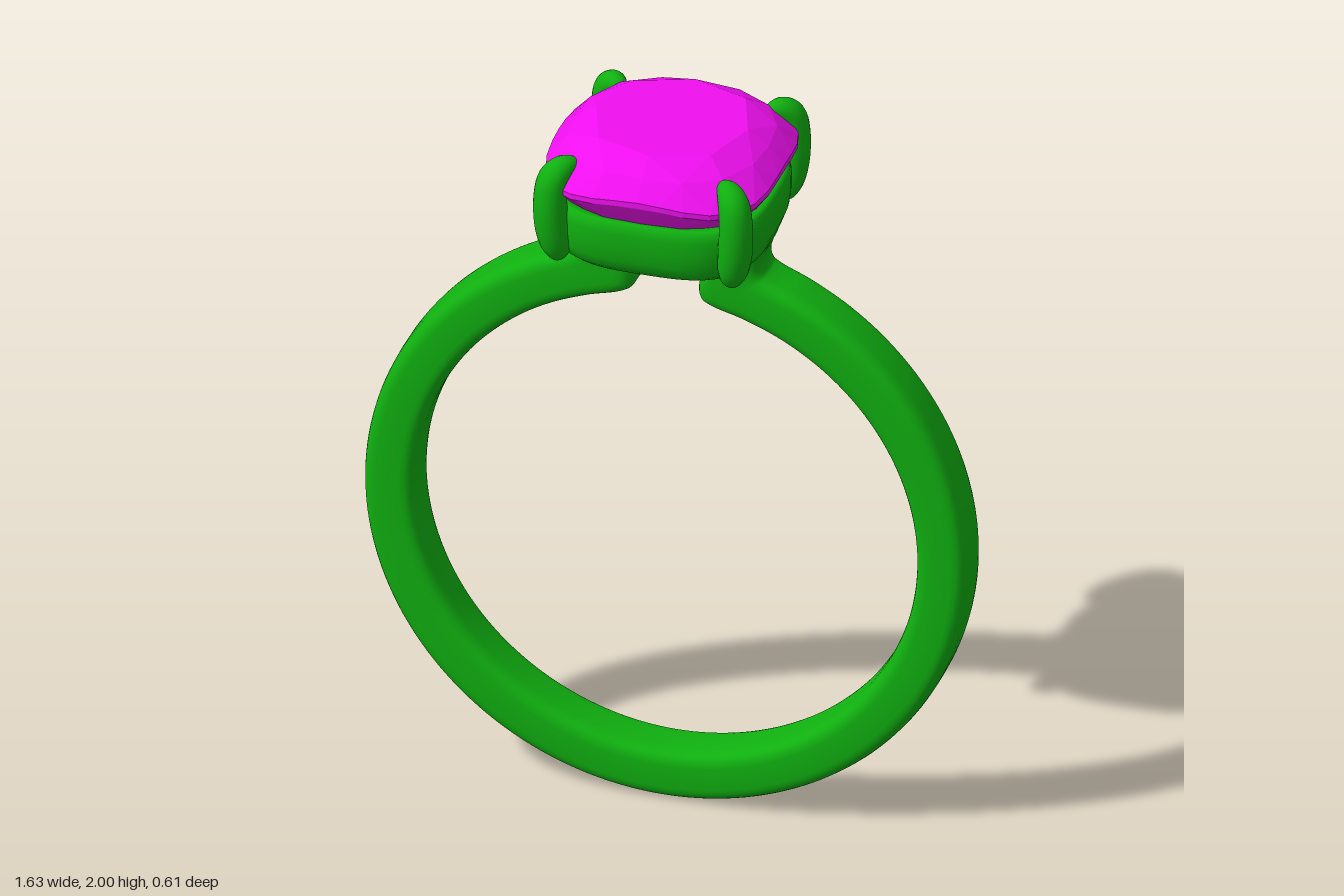
import * as THREE from 'three';
import { ConvexGeometry } from 'three/addons/geometries/ConvexGeometry.js';

const metal = new THREE.MeshStandardMaterial({ color: 0x10b010 });
const stone = new THREE.MeshStandardMaterial({ color: 0xf010f0 });

// Skin a series of closed rings; either join last to first or cap both ends.
function loft(rings, loop) {
  const n = rings[0].length, m = rings.length;
  const pts = rings.flat(), idx = [];
  for (let i = 0; i < (loop ? m : m - 1); i++) {
    for (let j = 0; j < n; j++) {
      const a = i * n + j, b = i * n + (j + 1) % n;
      const c = ((i + 1) % m) * n + j, d = ((i + 1) % m) * n + (j + 1) % n;
      idx.push(a, b, c, b, d, c);
    }
  }
  if (!loop) {
    for (const [r, flip] of [[0, true], [m - 1, false]]) {
      const mid = new THREE.Vector3();
      rings[r].forEach(p => mid.addScaledVector(p, 1 / n));
      const k = pts.push(mid) - 1;
      for (let j = 0; j < n; j++) {
        const a = r * n + j, b = r * n + (j + 1) % n;
        idx.push(k, flip ? b : a, flip ? a : b);
      }
    }
  }
  // Turn the faces outward if the enclosed volume is negative
  let vol = 0;
  for (let i = 0; i < idx.length; i += 3) {
    vol += pts[idx[i]].dot(pts[idx[i + 1]].clone().cross(pts[idx[i + 2]]));
  }
  if (vol < 0) idx.reverse();
  const g = new THREE.BufferGeometry().setFromPoints(pts);
  g.setIndex(idx);
  g.computeVertexNormals();
  return g;
}

// Points of a squarish rounded outline: half-width r, exponent e
const power = (v, e) => Math.sign(v) * Math.abs(v) ** (2 / e);
function cushion(r, y, e, n) {
  return Array.from({ length: n }, (_, i) => {
    const a = i / n * Math.PI * 2;
    // Even angular spacing keeps the points spread along the sides
    const c = Math.cos(a), s = Math.sin(a);
    const k = r / (Math.abs(c) ** e + Math.abs(s) ** e) ** (1 / e);
    return new THREE.Vector3(k * c, y, k * s);
  });
}

// Band: matching inner and outer edges, with shoulders turning up to the setting
function bandGeometry() {
  const half = [
    [.125, 1.69, .275, 1.69], [.115, 1.65, .262, 1.66], [.10, 1.60, .256, 1.635],
    [.085, 1.54, .258, 1.615], [.092, 1.505, .265, 1.60], [.12, 1.488, .275, 1.592],
    [.20, 1.465, .30, 1.578],
  ];
  for (let i = 0; i <= 20; i++) {
    const a = THREE.MathUtils.degToRad(64 - i * 7.7);
    const c = Math.cos(a), s = Math.sin(a);
    half.push([.675 * c, .82 + .675 * s, .815 * c, .82 + .815 * s]);
  }
  half.pop();
  const mirrored = half.map(([a, b, c, d]) => [-a, b, -c, d]).reverse();
  const all = [...half, [0, .145, 0, .005], ...mirrored];
  const inner = new THREE.CatmullRomCurve3(all.map(p => new THREE.Vector3(p[0], p[1], 0)));
  const outer = new THREE.CatmullRomCurve3(all.map(p => new THREE.Vector3(p[2], p[3], 0)));
  const rings = [], steps = (all.length - 1) * 5;
  for (let i = 0; i <= steps; i++) {
    const p = inner.getPoint(i / steps), q = outer.getPoint(i / steps);
    rings.push(Array.from({ length: 32 }, (_, j) => {
      const a = j / 32 * Math.PI * 2;
      const v = p.clone().lerp(q, .5 + .5 * power(Math.cos(a), 4));
      v.z = .08 * power(Math.sin(a), 4);
      return v;
    }));
  }
  return loft(rings, false);
}

// Setting: a cushion-shaped collar that follows the underside of the stone
function collarGeometry() {
  const profile = [
    [.14, 1.672], [.19, 1.67], [.235, 1.67], [.255, 1.674], [.272, 1.69], [.283, 1.72],
    [.288, 1.76], [.288, 1.80], [.284, 1.822], [.274, 1.83], [.255, 1.83], [.235, 1.80], [.14, 1.69],
  ];
  return loft(profile.map(([r, y]) => cushion(r, y, 3.2, 72)), true);
}

// Prong: a tapered claw bending inward, drawn along +x
function prongGeometry() {
  const keys = [
    [.318, 1.675, .004], [.325, 1.685, .026], [.338, 1.72, .040], [.35, 1.78, .045],
    [.354, 1.86, .044], [.343, 1.915, .041], [.318, 1.937, .034], [.29, 1.942, .022], [.268, 1.938, .004],
  ];
  const path = new THREE.CatmullRomCurve3(keys.map(k => new THREE.Vector3(k[0], k[1], 0)));
  const size = new THREE.CatmullRomCurve3(keys.map((k, i) => new THREE.Vector3(i * .05, k[2], 0)));
  const rings = [];
  for (let i = 0; i <= 40; i++) {
    const p = path.getPoint(i / 40), t = path.getTangent(i / 40);
    const r = Math.max(.002, size.getPoint(i / 40).y);
    rings.push(Array.from({ length: 20 }, (_, j) => {
      const a = j / 20 * Math.PI * 2, c = r * Math.cos(a);
      return new THREE.Vector3(p.x + t.y * c, p.y - t.x * c, r * Math.sin(a));
    }));
  }
  return loft(rings, false);
}

// Faceted stone: table, crown, girdle and pavilion down to a point
function stoneGeometry() {
  const girdle = cushion(.305, 1.915, 3.2, 32);
  girdle.forEach(p => { p.y -= .02 * (2 * p.x * p.z / (p.x * p.x + p.z * p.z)) ** 2; });
  return new ConvexGeometry([
    ...cushion(.205, 2, 2.3, 8),
    ...cushion(.262, 1.962, 2.5, 16),
    ...girdle,
    ...girdle.map(p => new THREE.Vector3(p.x, p.y - .015, p.z)),
    ...cushion(.268, 1.835, 3, 16),
    ...cushion(.13, 1.68, 2.4, 8),
    new THREE.Vector3(0, 1.585, 0),
  ]);
}

export function createModel() {
  const model = new THREE.Group();
  model.name = 'ring';
  const add = (name, geometry, material) => {
    const mesh = new THREE.Mesh(geometry, material);
    mesh.name = name;
    model.add(mesh);
    return mesh;
  };
  add('band', bandGeometry(), metal);
  add('settingCollar', collarGeometry(), metal);
  add('gemstone', stoneGeometry(), stone);
  // One prong at each corner
  const prong = prongGeometry();
  ['backLeft', 'backRight', 'frontRight', 'frontLeft'].forEach((corner, i) => {
    add(corner + 'Prong', prong, metal).rotation.y = Math.PI / 4 + i * Math.PI / 2;
  });
  return model;
}
